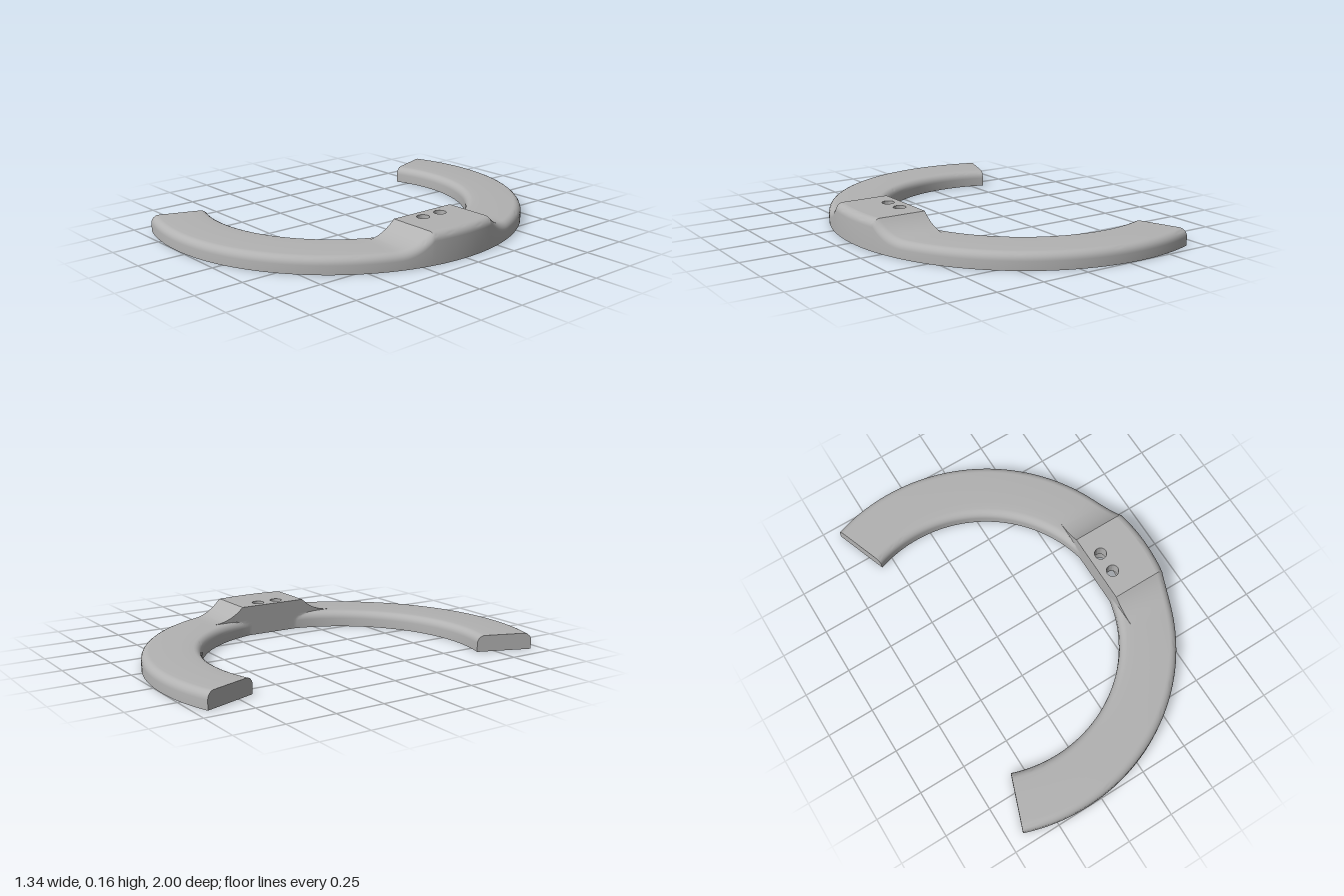
import * as THREE from 'three';
import { toCreasedNormals } from 'three/addons/utils/BufferGeometryUtils.js';

const CX = -0.33, RI = 0.705, RO = 1.0;        // ring centre and radii
const LOW = 0.085, HIGH = 0.16, F = 0.04;      // ring height, pad height, edge rounding
const PAD = 0.19, RAMP = 0.37, WALL = 0.36;    // pad half length, ramp end, inner pad face
const END = THREE.MathUtils.degToRad(110);
const HOLE_X = 0.425, HOLE_Z = 0.057, SLOT_TOP = 0.08;

// Height of the top surface: flat pad, concave ramps, flat ring
function topHeight(z) {
  const a = Math.abs(z);
  if (a <= PAD) return HIGH;
  if (a >= RAMP) return LOW;
  const w = RAMP - PAD, h = HIGH - LOW, R = (w * w + h * h) / (2 * h);
  return LOW + R - Math.sqrt(R * R - (RAMP - a) ** 2);
}

// One cross-section; z within the ramps, then s runs 0..1 to the ring end
function section(z, s) {
  const H = topHeight(z), sign = Math.sign(z) || 1;
  const rWall = Math.hypot(WALL - CX, z);
  const place = (r, y, clamp) => {
    if (s > 0) {
      const a = THREE.MathUtils.lerp(Math.asin(RAMP / r), END, s);
      return [CX + r * Math.cos(a), y, sign * r * Math.sin(a)];
    }
    const x = CX + Math.sqrt(r * r - z * z);
    return [clamp ? Math.min(x, WALL) : x, y, z];
  };
  const p = [place(RI, 0, true)];
  for (let i = 0; i <= 6; i++) {
    const a = i / 6 * Math.PI / 2;
    p.push(place(RI + F * (1 - Math.cos(a)), LOW - F * (1 - Math.sin(a)), true));
  }
  p.push(place(rWall, LOW), place(rWall, H));
  for (let i = 0; i <= 6; i++) {
    const a = i / 6 * Math.PI / 2;
    p.push(place(RO - F * (1 - Math.sin(a)), H - F * (1 - Math.cos(a))));
  }
  p.push(place(RO, 0));
  return p;
}

// Surface from cross-sections, left open over and under the pad
function sweep(slices) {
  const n = slices[0].p.length, pos = slices.flatMap(s => s.p.flat()), index = [];
  for (let i = 0; i < slices.length - 1; i++) {
    const onPad = slices[i].pad && slices[i + 1].pad;
    for (let j = 0; j < n; j++) {
      if (onPad && (j === 9 || j === n - 1)) continue;
      const k = (j + 1) % n, a = i * n + j, b = a + n, c = (i + 1) * n + k, d = i * n + k;
      index.push(a, b, c, a, c, d);
    }
  }
  const last = (slices.length - 1) * n;
  for (let j = 1; j < n - 1; j++) index.push(0, j, j + 1, last, last + j + 1, last + j);
  return mesh(pos, index);
}

function mesh(pos, index) {
  const g = new THREE.BufferGeometry();
  g.setAttribute('position', new THREE.Float32BufferAttribute(pos, 3));
  g.setIndex(index);
  return toCreasedNormals(g, 0.6);
}

// Inward-facing wall around a closed outline
function innerWall(shape, y0, y1) {
  const pts = shape.getPoints(20), pos = [], index = [];
  pts.forEach((p, i) => {
    const a = 2 * i, b = 2 * ((i + 1) % pts.length);
    pos.push(p.x, y0, -p.y, p.x, y1, -p.y);
    index.push(a, b + 1, b, a, a + 1, b + 1);
  });
  return mesh(pos, index);
}

// Flat face at height y, facing up or down
function plate(shape, y, up) {
  return new THREE.ShapeGeometry(shape, 20).rotateX(up ? -Math.PI / 2 : Math.PI / 2).translate(0, y, 0);
}

export function createModel() {
  const group = new THREE.Group();
  const grey = new THREE.MeshStandardMaterial({ color: 0xb2b2b2, side: THREE.DoubleSide });
  const add = (name, geometry) => {
    const m = new THREE.Mesh(geometry, grey);
    m.name = name;
    group.add(m);
  };

  // Section stations, mirrored about the middle
  const half = [[0.03, 0], [0.06, 0], [0.1, 0], [0.13, 0], [0.145, 0], [0.155, 0], [0.165, 0], [0.178, 0], [PAD, 0]];
  for (let i = 1; i <= 12; i++) half.push([PAD + (RAMP - PAD) * i / 12, 0]);
  for (let i = 1; i <= 48; i++) half.push([RAMP, i / 48]);
  const stations = [...half.map(([z, s]) => [-z, s]).reverse(), [0, 0], ...half];
  const slices = stations.map(([z, s]) => ({ p: section(z, s), pad: Math.abs(z) <= PAD }));
  add('openRing', sweep(slices));

  // Pad faces pierced by the holes and the slot
  const pad = slices.filter(s => s.pad).map(s => s.p);
  const outline = (inner, outer) => new THREE.Shape([
    ...pad.map(p => new THREE.Vector2(p[inner][0], -p[inner][2])),
    ...pad.map(p => new THREE.Vector2(p[outer][0], -p[outer][2])).reverse()
  ]);
  const holes = [-1, 1].map(k => new THREE.Shape().absarc(HOLE_X, k * HOLE_Z, 0.032, 0, Math.PI * 2));
  const makeSlot = () => new THREE.Shape()
    .absarc(HOLE_X, HOLE_Z, 0.045, 0, Math.PI)
    .absarc(HOLE_X, -HOLE_Z, 0.045, Math.PI, Math.PI * 2);

  const top = outline(9, 10);
  top.holes.push(...holes);
  add('padTop', plate(top, HIGH, true));

  const bottom = outline(0, 17);
  bottom.holes.push(makeSlot());
  add('padBottom', plate(bottom, 0, false));

  // Screw holes and the slot beneath them
  holes.forEach((h, i) => add(i ? 'backScrewHole' : 'frontScrewHole', innerWall(h, SLOT_TOP, HIGH)));
  add('slotWall', innerWall(makeSlot(), 0, SLOT_TOP));
  const ceiling = makeSlot();
  ceiling.holes.push(...holes);
  add('slotCeiling', plate(ceiling, SLOT_TOP, false));

  return group;
}
